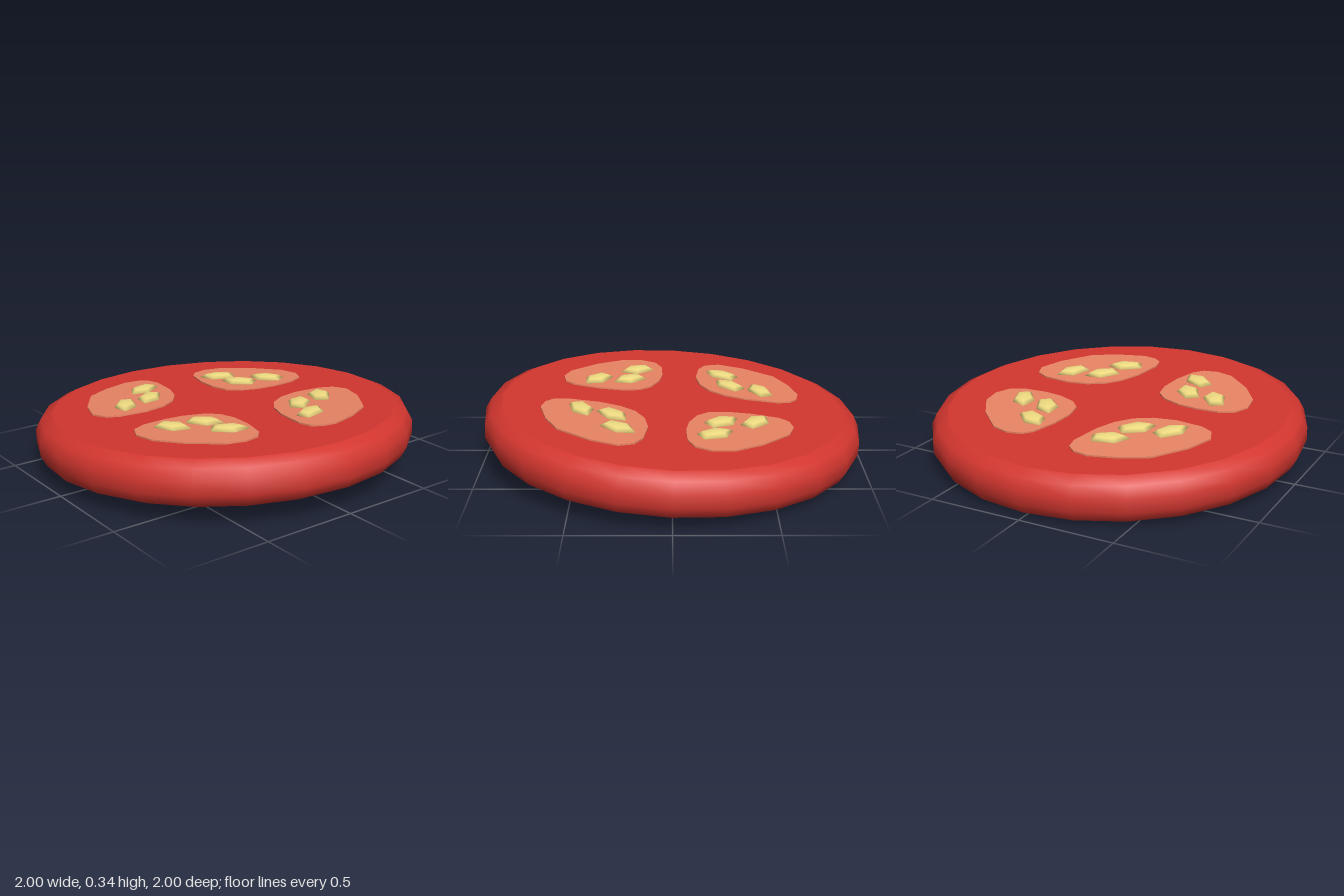
import * as THREE from 'three';

const SIDES = 24, CUT_RADIUS = 0.91, HALF = 0.118, PULP_HALF = 0.126;

const skinMat = new THREE.MeshStandardMaterial({ color: 0xd3362f });
const pulpMat = new THREE.MeshStandardMaterial({ color: 0xe98464 });
const seedMat = new THREE.MeshStandardMaterial({ color: 0xf0dc82 });

// Two chamber designs as [x, z] outlines; seeds are [x, z, tip direction x, z]
const chambers = [
  {
    outline: [[0.26, -0.65], [0.4, -0.6], [0.57, -0.48], [0.64, -0.34], [0.68, -0.19], [0.665, -0.11],
      [0.625, -0.065], [0.555, -0.05], [0.38, -0.08], [0.27, -0.125], [0.19, -0.19], [0.14, -0.28],
      [0.12, -0.4], [0.14, -0.55], [0.18, -0.62]],
    seeds: [[0.27, -0.44, -30, -19], [0.305, -0.265, -24, -26], [0.47, -0.2, -14, -33]],
  },
  {
    outline: [[-0.19, -0.665], [-0.305, -0.65], [-0.45, -0.555], [-0.59, -0.41], [-0.62, -0.315],
      [-0.605, -0.235], [-0.555, -0.19], [-0.42, -0.15], [-0.29, -0.137], [-0.19, -0.155],
      [-0.13, -0.21], [-0.085, -0.315], [-0.07, -0.42], [-0.075, -0.545], [-0.11, -0.625]],
    seeds: [[-0.213, -0.468, -33, 19], [-0.427, -0.28, -22, 30], [-0.251, -0.3, -29, 22]],
  },
];

function addMesh(parent, name, geometry, material) {
  const mesh = new THREE.Mesh(geometry, material);
  mesh.name = name;
  parent.add(mesh);
  return mesh;
}

// Pulp pocket running through the slice, with three seeds on top
function makeChamber({ outline, seeds }) {
  const group = new THREE.Group();
  group.name = 'seedChamber';
  const shape = new THREE.Shape(outline.map(([x, z]) => new THREE.Vector2(x, -z)));
  const pulp = new THREE.ExtrudeGeometry(shape, { depth: PULP_HALF * 2, bevelEnabled: false });
  pulp.translate(0, 0, -PULP_HALF).rotateX(-Math.PI / 2);
  addMesh(group, 'pulp', pulp, pulpMat);

  for (const [x, z, dx, dz] of seeds) {
    const seed = addMesh(group, 'seed', new THREE.SphereGeometry(1, 5, 4), seedMat);
    seed.scale.set(0.106, 0.022, 0.062);
    seed.position.set(x, 0.13, z);
    seed.rotation.y = Math.atan2(dz, -dx);
  }
  group.position.x = 0.008;
  return group;
}

export function createModel() {
  const model = new THREE.Group();
  model.name = 'tomatoSlice';
  const slice = new THREE.Group();
  slice.name = 'tiltedSlice';
  model.add(slice);

  // Rounded outer skin
  const profile = [[CUT_RADIUS, -HALF], [0.97, -0.09], [1, -0.035], [1, 0.035], [0.97, 0.09], [CUT_RADIUS, HALF]]
    .map(([r, y]) => new THREE.Vector2(r, y));
  addMesh(slice, 'skin', new THREE.LatheGeometry(profile, SIDES), skinMat);

  // Flat cut faces, top and bottom
  for (const side of [1, -1]) {
    const face = new THREE.CircleGeometry(CUT_RADIUS, SIDES);
    face.rotateX(-side * Math.PI / 2).translate(0, side * HALF, 0);
    addMesh(slice, side > 0 ? 'topFace' : 'bottomFace', face, skinMat);
  }

  // Each chamber appears twice, half a turn apart
  for (const chamber of chambers) {
    for (const turn of [0, Math.PI]) {
      const pivot = new THREE.Group();
      pivot.name = 'chamberPivot';
      pivot.rotation.y = turn;
      pivot.add(makeChamber(chamber));
      slice.add(pivot);
    }
  }

  // Slight lean, raised on the left
  slice.rotation.z = 0.052;
  slice.position.y = 0.167;
  return model;
}
